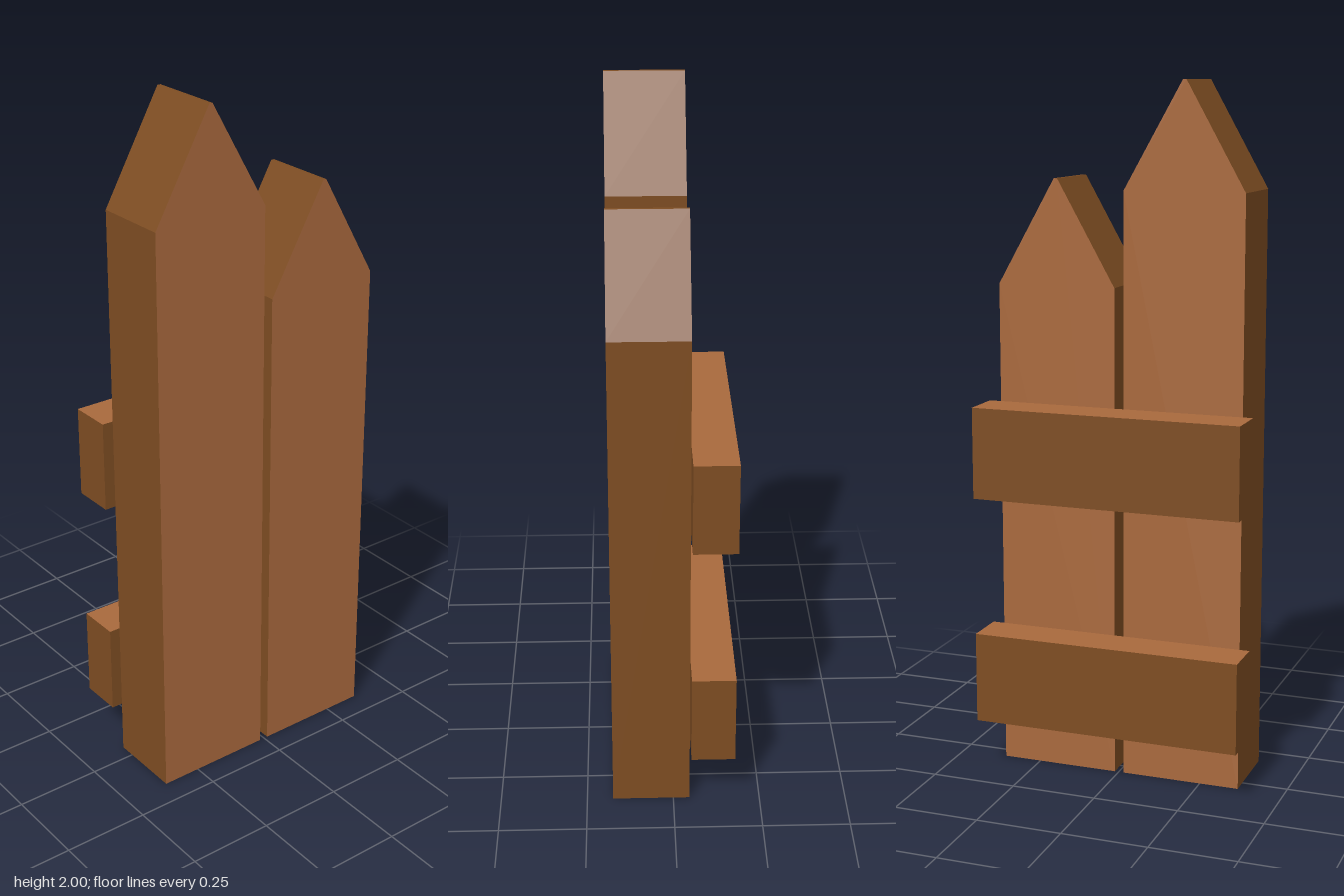
import * as THREE from 'three';

const lightWood = new THREE.MeshStandardMaterial({ color: 0xa9693d });
lightWood.name = 'lightWood';
const darkWood = new THREE.MeshStandardMaterial({ color: 0x7e4d22 });
darkWood.name = 'darkWood';

// Upright picket with a pointed top: light faces, dark cut edges
function picket(name, x, shoulder, tip) {
  const w = 0.175, t = 0.005;
  const outline = new THREE.Shape([
    [-w, 0], [w, 0], [w, shoulder], [t, tip], [-t, tip], [-w, shoulder],
  ].map(([px, py]) => new THREE.Vector2(px, py)));
  const geometry = new THREE.ExtrudeGeometry(outline, { depth: 0.222, bevelEnabled: false });
  const mesh = new THREE.Mesh(geometry, [lightWood, darkWood]);
  mesh.name = name;
  mesh.position.set(x, 0, -0.047);
  return mesh;
}

// Horizontal rail behind the pickets: light top and bottom, dark sides
function rail(name, y) {
  const geometry = new THREE.BoxGeometry(0.79, 0.265, 0.125);
  const mesh = new THREE.Mesh(geometry, [darkWood, darkWood, lightWood, lightWood, darkWood, darkWood]);
  mesh.name = name;
  mesh.position.set(0, y, -0.1135);
  return mesh;
}

export function createModel() {
  const fence = new THREE.Group();
  fence.name = 'fence';
  fence.add(
    picket('tallPicket', -0.19, 1.7, 2),
    picket('shortPicket', 0.187, 1.43, 1.73),
    rail('upperRail', 0.957),
    rail('lowerRail', 0.288),
  );
  return fence;
}
